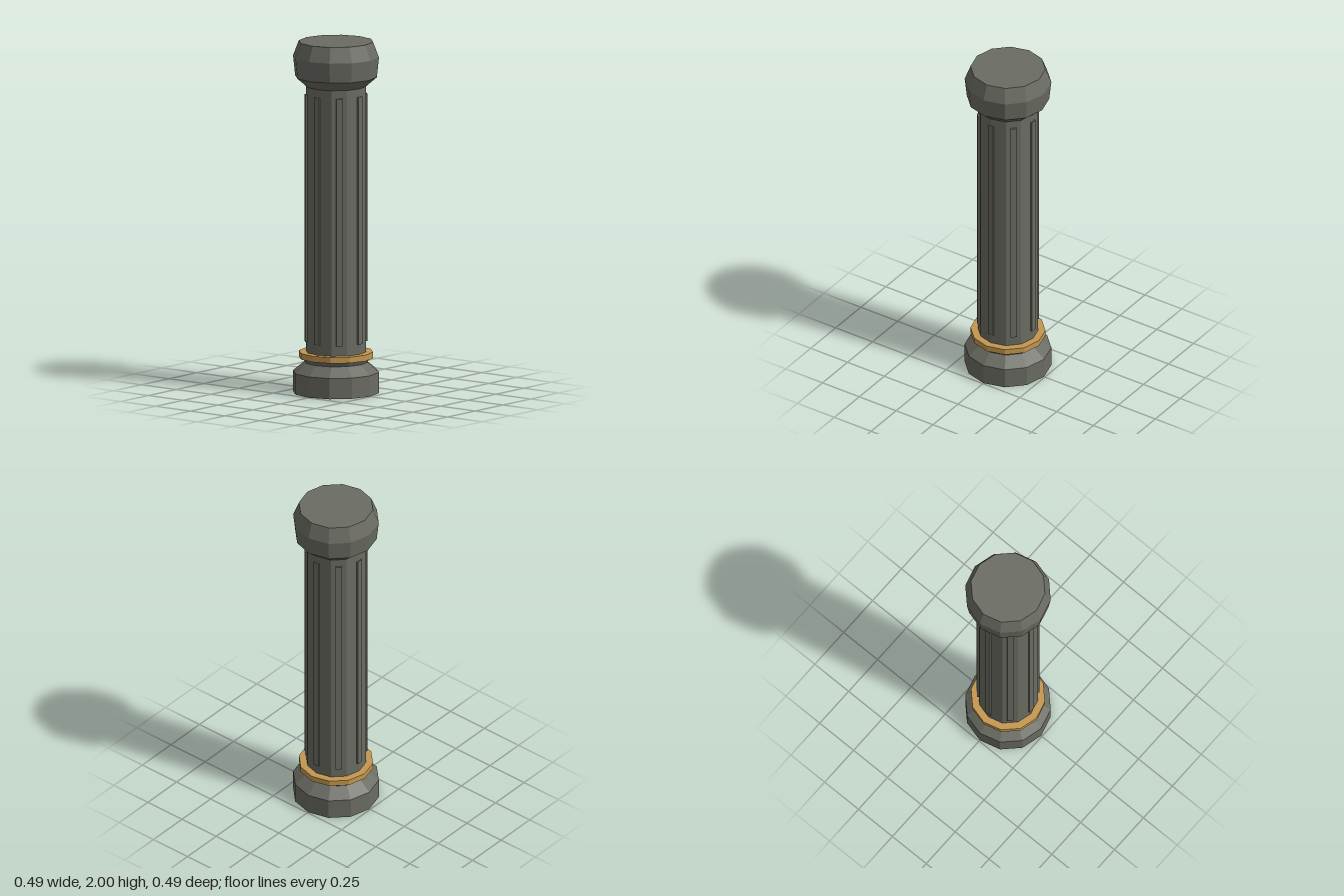
import * as THREE from 'three';

const SIDES = 12;

export function createModel() {
  const model = new THREE.Group();
  model.name = 'column';

  const stone = new THREE.MeshStandardMaterial({ color: 0x6a6b62 });
  stone.name = 'dark stone';
  const gold = new THREE.MeshStandardMaterial({ color: 0xc4974f });
  gold.name = 'gold';

  // Adds a faceted twelve-sided turned part from [radius, height] pairs, bottom to top
  function turned(name, profile, material) {
    const points = profile.map(([r, y]) => new THREE.Vector2(r, y));
    const geometry = new THREE.LatheGeometry(points, SIDES).toNonIndexed();
    geometry.computeVertexNormals();
    const mesh = new THREE.Mesh(geometry, material);
    mesh.name = name;
    model.add(mesh);
  }

  // Foot with a sloped shoulder and a short flare under the ring
  turned('base', [[0, 0], [0.244, 0], [0.244, 0.118], [0.178, 0.173], [0.19, 0.198], [0, 0.198]], stone);

  // Metal collar around the bottom of the shaft
  turned('collar', [[0.15, 0.198], [0.211, 0.198], [0.211, 0.232], [0.15, 0.232]], gold);

  // Shaft
  turned('shaft', [[0.17, 0.19], [0.17, 1.755]], stone);

  // Capital: flares out, bulges and closes with a flat top
  turned('capital', [[0, 1.746], [0.17, 1.746], [0.232, 1.8], [0.244, 1.913], [0.211, 2], [0, 2]], stone);

  // Eight slim raised ribs around the shaft
  const ribs = new THREE.Group();
  ribs.name = 'ribs';
  const ribGeometry = new THREE.BoxGeometry(0.036, 1.41, 0.03);
  for (let i = 0; i < 8; i++) {
    const angle = (i * Math.PI) / 4;
    const rib = new THREE.Mesh(ribGeometry, stone);
    rib.name = 'rib';
    rib.position.set(Math.sin(angle) * 0.16, 0.995, Math.cos(angle) * 0.16);
    rib.rotation.y = angle;
    ribs.add(rib);
  }
  model.add(ribs);

  return model;
}
